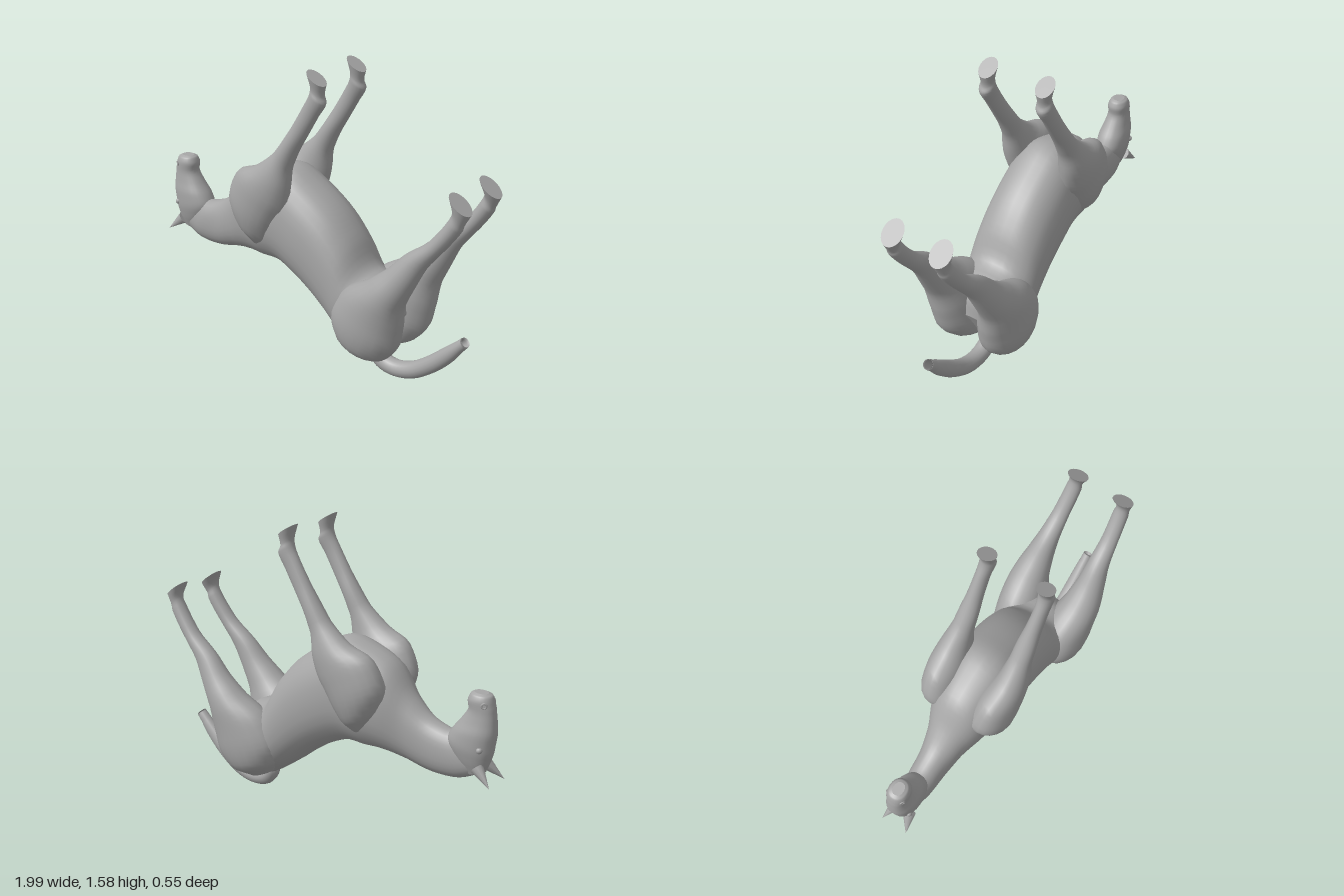
import * as THREE from 'three';

const coat = new THREE.MeshStandardMaterial({ color: 0xa6a6a6 });
coat.name = 'grey coat';

// Smooth skin through elliptical sections.
// Each section: [edge A x, y, edge B x, y, half width, z centre]
function loft(name, rows, { sides = 20, steps = 4, power = 1, side = 1 } = {}) {
  const centres = new THREE.CatmullRomCurve3(rows.map(([ax, ay, bx, by, , z = 0]) =>
    new THREE.Vector3((ax + bx) / 2, (ay + by) / 2, z * side)));
  const sizes = new THREE.CatmullRomCurve3(rows.map(([ax, ay, bx, by, w]) =>
    new THREE.Vector3((ax - bx) / 2, (ay - by) / 2, w)));
  const n = (rows.length - 1) * steps;
  const pos = [], index = [];
  const soft = v => Math.sign(v) * Math.abs(v) ** power;
  const ring = t => {
    const c = centres.getPoint(t), s = sizes.getPoint(t);
    for (let j = 0; j < sides; j++) {
      const a = j / sides * Math.PI * 2, u = soft(Math.cos(a));
      pos.push(c.x + s.x * u, c.y + s.y * u, c.z + s.z * soft(Math.sin(a)));
    }
    return c;
  };
  for (let i = 0; i <= n; i++) ring(i / n);

  // choose the winding that faces outward
  const p0 = centres.getPoint(0.45), p1 = centres.getPoint(0.55), s = sizes.getPoint(0.5);
  const outward = s.y * (p1.x - p0.x) - s.x * (p1.y - p0.y) > 0;
  const tri = (a, b, c) => outward ? index.push(a, b, c) : index.push(a, c, b);
  for (let i = 0; i < n; i++) for (let j = 0; j < sides; j++) {
    const k = (j + 1) % sides, a = i * sides, b = a + sides;
    tri(a + j, a + k, b + k);
    tri(a + j, b + k, b + j);
  }
  // flat caps with their own vertices
  for (const t of [0, 1]) {
    const base = pos.length / 3, c = ring(t);
    pos.push(c.x, c.y, c.z);
    for (let j = 0; j < sides; j++) {
      const k = (j + 1) % sides;
      if (t) tri(base + j, base + k, base + sides);
      else tri(base + k, base + j, base + sides);
    }
  }
  const geo = new THREE.BufferGeometry();
  geo.setAttribute('position', new THREE.Float32BufferAttribute(pos, 3));
  geo.setIndex(index);
  geo.computeVertexNormals();
  const mesh = new THREE.Mesh(geo, coat);
  mesh.name = name;
  return mesh;
}

const torso = [
  [-0.91, 0.48, -0.76, 0.66, 0.055], [-0.80, 0.43, -0.70, 0.67, 0.075],
  [-0.66, 0.42, -0.60, 0.71, 0.085], [-0.52, 0.45, -0.50, 0.80, 0.11],
  [-0.40, 0.47, -0.40, 0.93, 0.155], [-0.28, 0.47, -0.27, 0.99, 0.185],
  [-0.17, 0.47, -0.12, 1.02, 0.195], [-0.05, 0.42, 0.02, 0.95, 0.20],
  [0.06, 0.35, 0.17, 0.84, 0.20], [0.16, 0.27, 0.28, 0.71, 0.20],
  [0.24, 0.21, 0.36, 0.57, 0.20], [0.31, 0.16, 0.47, 0.53, 0.18],
  [0.37, 0.125, 0.54, 0.46, 0.14], [0.45, 0.14, 0.56, 0.36, 0.09],
];
const head = [
  [-0.93, 0.49, -0.83, 0.47, 0.04], [-0.95, 0.54, -0.76, 0.55, 0.064],
  [-0.967, 0.61, -0.725, 0.63, 0.08], [-0.978, 0.69, -0.75, 0.69, 0.078],
  [-0.975, 0.75, -0.795, 0.75, 0.064], [-0.967, 0.81, -0.83, 0.81, 0.055],
  [-0.957, 0.855, -0.825, 0.855, 0.056], [-0.945, 0.885, -0.838, 0.888, 0.045],
  [-0.925, 0.895, -0.855, 0.897, 0.028],
];
const foreleg = [
  [0.085, 1.585, 0.185, 1.52, 0.047, 0.16], [0.105, 1.51, 0.175, 1.465, 0.035, 0.16],
  [0.10, 1.475, 0.187, 1.43, 0.04, 0.162], [0.06, 1.40, 0.145, 1.36, 0.036, 0.165],
  [0, 1.30, 0.085, 1.26, 0.04, 0.165], [-0.06, 1.21, 0.025, 1.16, 0.05, 0.165],
  [-0.12, 1.13, -0.02, 1.06, 0.056, 0.167], [-0.24, 1.035, -0.035, 0.94, 0.078, 0.17],
  [-0.37, 0.975, -0.07, 0.82, 0.1, 0.158], [-0.43, 0.85, -0.13, 0.72, 0.108, 0.147],
  [-0.40, 0.72, -0.19, 0.62, 0.1, 0.125], [-0.34, 0.62, -0.25, 0.56, 0.06, 0.1],
];
const hindLeg = [
  [0.88, 1.147, 0.99, 1.06, 0.056, 0.135], [0.905, 1.07, 0.96, 1.0, 0.037, 0.143],
  [0.885, 1.02, 0.952, 0.975, 0.042, 0.143], [0.79, 0.89, 0.86, 0.845, 0.045, 0.15],
  [0.665, 0.79, 0.78, 0.74, 0.056, 0.155], [0.57, 0.69, 0.72, 0.62, 0.075, 0.163],
  [0.46, 0.60, 0.665, 0.50, 0.1, 0.165], [0.32, 0.51, 0.65, 0.38, 0.122, 0.15],
  [0.24, 0.38, 0.625, 0.26, 0.132, 0.14], [0.255, 0.26, 0.55, 0.165, 0.12, 0.125],
  [0.32, 0.17, 0.45, 0.125, 0.07, 0.09],
];
// the tail turns inward at its hollow tip
const tail = [
  [0.365, 0.17, 0.45, 0.17, 0.042], [0.36, 0.11, 0.445, 0.125, 0.045],
  [0.42, 0.03, 0.475, 0.105, 0.046], [0.53, 0.005, 0.53, 0.095, 0.046],
  [0.65, 0.035, 0.615, 0.118, 0.045], [0.77, 0.115, 0.72, 0.19, 0.042],
  [0.86, 0.205, 0.80, 0.26, 0.037], [0.91, 0.275, 0.87, 0.32, 0.03],
  [0.905, 0.28, 0.875, 0.315, 0.022], [0.87, 0.25, 0.845, 0.28, 0.018],
];

export function createModel() {
  const horse = new THREE.Group();
  horse.name = 'horse';
  horse.add(
    loft('torsoAndNeck', torso, { sides: 28, power: 0.9 }),
    loft('head', head, { sides: 24, power: 0.9 }),
    loft('tail', tail, { sides: 16 }),
  );

  for (const side of [1, -1]) {
    const label = side > 0 ? 'left' : 'right';
    horse.add(loft(label + 'Foreleg', foreleg, { side }), loft(label + 'HindLeg', hindLeg, { side }));

    // pointed ear
    const ear = new THREE.Mesh(new THREE.ConeGeometry(0.034, 0.12, 10), coat);
    ear.name = label + 'Ear';
    const base = new THREE.Vector3(-0.905, 0.525, side * 0.04);
    const tip = new THREE.Vector3(-1.0, 0.443, side * 0.075);
    ear.position.copy(base).lerp(tip, 0.5);
    ear.quaternion.setFromUnitVectors(new THREE.Vector3(0, 1, 0), tip.clone().sub(base).normalize());
    horse.add(ear);

    // eye and nostril
    const eye = new THREE.Mesh(new THREE.SphereGeometry(0.016, 12, 8), coat);
    eye.name = label + 'Eye';
    eye.position.set(-0.925, 0.625, side * 0.061);
    const nostril = new THREE.Mesh(new THREE.TorusGeometry(0.012, 0.005, 6, 14), coat);
    nostril.name = label + 'Nostril';
    nostril.position.set(-0.93, 0.847, side * 0.046);
    nostril.rotation.y = -side * 0.6;
    horse.add(eye, nostril);
  }
  return horse;
}
